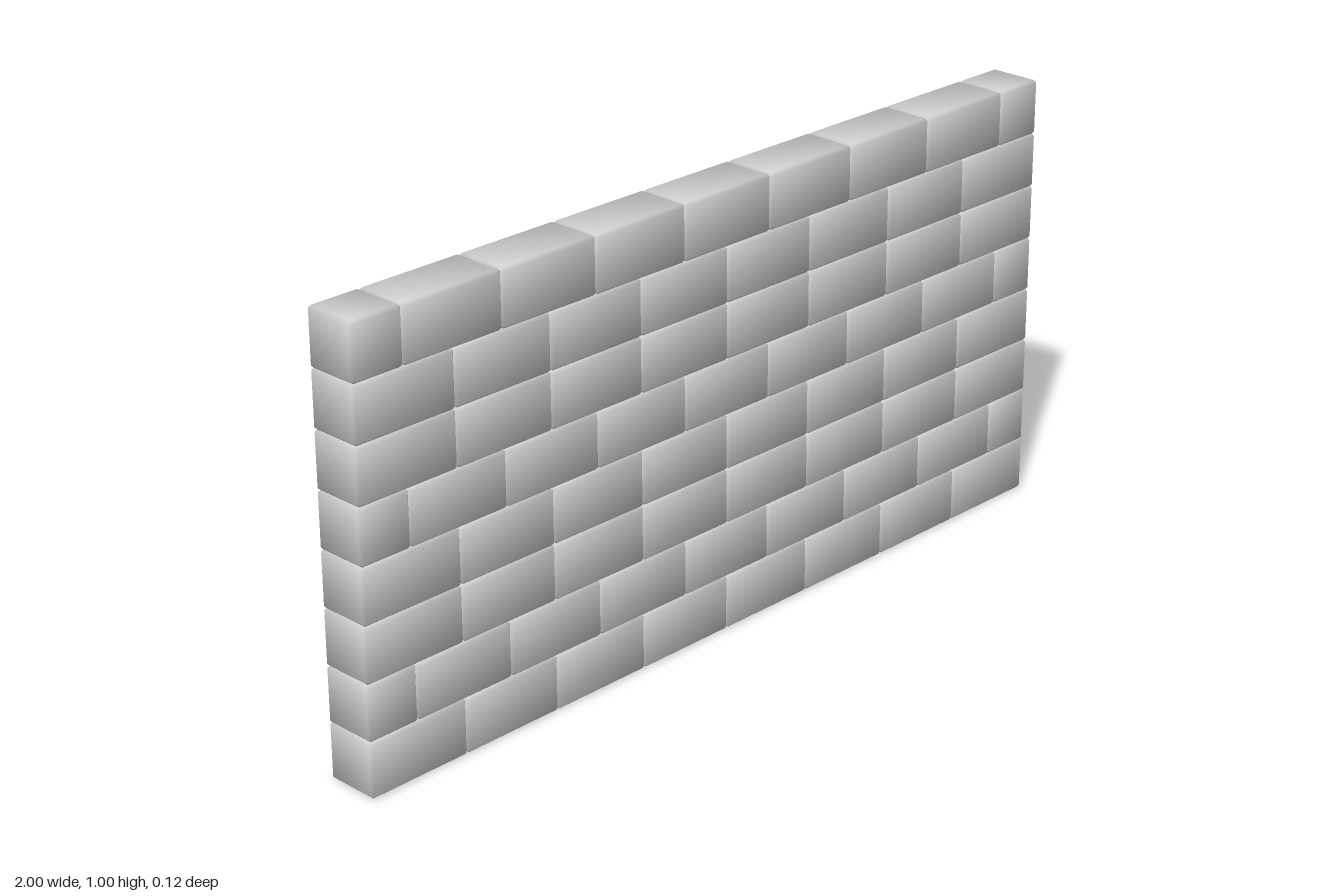
import * as THREE from 'three';
import { ConvexGeometry } from 'three/addons/geometries/ConvexGeometry.js';

const ROWS = 8, LENGTH = 2, BRICK = 0.25, HEIGHT = 0.125, DEPTH = 0.125, BEVEL = 0.006;

// Box with chamfered edges whose normals are blended softly over the chamfers
function brickGeometry(width) {
  const half = [width / 2, HEIGHT / 2, DEPTH / 2];
  const points = [];
  for (const sx of [-1, 1]) for (const sy of [-1, 1]) for (const sz of [-1, 1])
    for (let axis = 0; axis < 3; axis++) {
      const p = [sx, sy, sz].map((s, i) => s * (half[i] - (i === axis ? 0 : BEVEL)));
      points.push(new THREE.Vector3(...p));
    }
  const geometry = new ConvexGeometry(points);

  // Each corner leans from its own face towards the two neighbouring faces
  const pos = geometry.attributes.position, normal = geometry.attributes.normal;
  const n = new THREE.Vector3();
  for (let i = 0; i < pos.count; i++) {
    const p = [pos.getX(i), pos.getY(i), pos.getZ(i)];
    n.set(...p.map((c, k) => Math.sign(c) * (half[k] - Math.abs(c) < BEVEL / 2 ? 2.5 : 1))).normalize();
    normal.setXYZ(i, n.x, n.y, n.z);
  }
  return geometry;
}

export function createModel() {
  const wall = new THREE.Group();
  wall.name = 'brickWall';
  const material = new THREE.MeshStandardMaterial({ color: 0xcccccc });
  const fullBrick = brickGeometry(BRICK);
  const halfBrick = brickGeometry(BRICK / 2);

  for (let r = 0; r < ROWS; r++) {
    const course = new THREE.Group();
    course.name = 'course' + (r + 1);
    course.position.y = (r + 0.5) * HEIGHT;
    wall.add(course);

    const addBrick = (geometry, name, x) => {
      const brick = new THREE.Mesh(geometry, material);
      brick.name = name;
      brick.position.x = x;
      course.add(brick);
    };

    // Every third course is shifted by half a brick and closed with half bricks
    const shifted = r % 3 === 1;
    const count = LENGTH / BRICK - (shifted ? 1 : 0);
    for (let i = 0; i < count; i++) addBrick(fullBrick, 'brick', (i - (count - 1) / 2) * BRICK);
    if (shifted) for (const s of [-1, 1]) addBrick(halfBrick, 'halfBrick', s * (LENGTH / 2 - BRICK / 4));
  }
  return wall;
}
